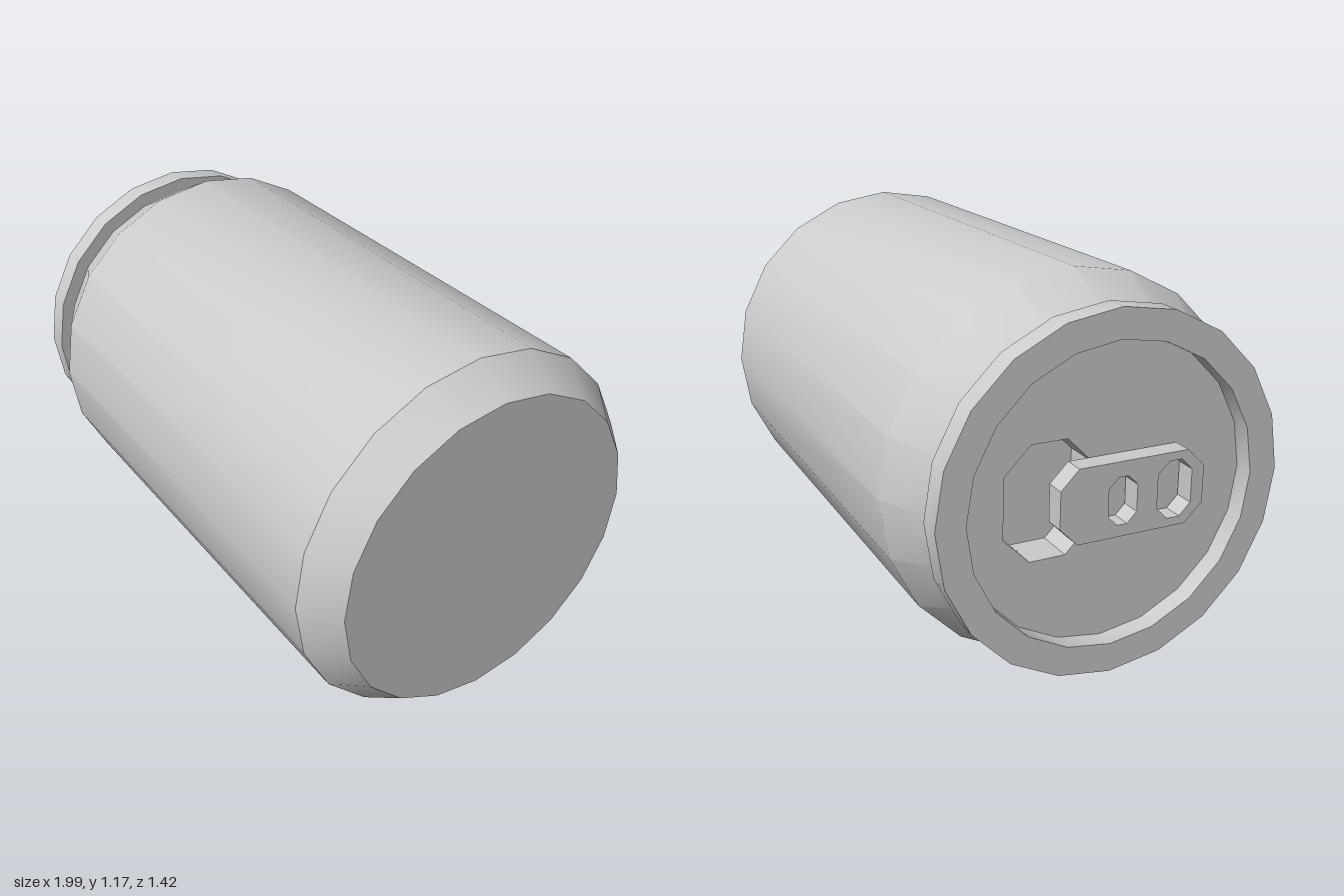
import * as THREE from 'three';
import { toCreasedNormals } from 'three/addons/utils/BufferGeometryUtils.js';

const SIDES = 20;
const material = new THREE.MeshStandardMaterial({ color: 0xcccccc });

function addMesh(parent, name, geometry) {
  const mesh = new THREE.Mesh(geometry, material);
  mesh.name = name;
  parent.add(mesh);
}

// Turned part: smooth around, sharp at strong profile bends
function turned(profile) {
  const points = profile.map(([r, y]) => new THREE.Vector2(r, y));
  return toCreasedNormals(new THREE.LatheGeometry(points, SIDES), Math.PI / 6);
}

// Corner points of a rectangle with cut corners
function cutRect(x0, x1, y0, y1, c) {
  return [
    [x0 + c, y0], [x1 - c, y0], [x1, y0 + c], [x1, y1 - c],
    [x1 - c, y1], [x0 + c, y1], [x0, y1 - c], [x0, y0 + c],
  ].map(([x, y]) => new THREE.Vector2(x, y));
}

// Flat plate with holes, lying across the can axis from bottom to top
function plate(outline, holes, bottom, top) {
  const shape = new THREE.Shape(outline);
  shape.holes = holes.map((h) => new THREE.Path(h));
  const geometry = new THREE.ExtrudeGeometry(shape, { depth: top - bottom, bevelEnabled: false });
  return geometry.rotateX(-Math.PI / 2).translate(0, bottom, 0);
}

export function createModel() {
  const model = new THREE.Group();
  model.name = 'can';
  const can = new THREE.Group();
  can.name = 'lyingCan';
  model.add(can);

  // Body with tapered base and neck
  addMesh(can, 'body', turned([
    [0, -0.917], [0.505, -0.917], [0.587, -0.805], [0.587, 0.659], [0.488, 0.847],
  ]));

  // Raised rim around the lid
  addMesh(can, 'rim', turned([
    [0.445, 0.847], [0.533, 0.847], [0.533, 0.92], [0.445, 0.92], [0.445, 0.86],
  ]));

  // Sunken lid with the drinking opening
  const lidOutline = [];
  for (let i = 0; i < SIDES; i++) {
    const a = (i / SIDES) * Math.PI * 2;
    lidOutline.push(new THREE.Vector2(Math.cos(a) * 0.446, Math.sin(a) * 0.446));
  }
  const mouth = cutRect(-0.31, -0.04, -0.17, 0.17, 0.08);
  addMesh(can, 'lid', plate(lidOutline, [mouth], 0.74, 0.86));
  addMesh(can, 'openingFloor', plate(mouth, [], 0.73, 0.741));

  // Pull tab with two holes, held by a rivet
  const tabHoles = [
    cutRect(-0.03, 0.06, -0.075, 0.065, 0.03),
    cutRect(0.125, 0.235, -0.085, 0.085, 0.035),
  ];
  addMesh(can, 'pullTab', plate(cutRect(-0.178, 0.274, -0.11, 0.11, 0.055), tabHoles, 0.87, 0.932));
  addMesh(can, 'rivet', new THREE.CylinderGeometry(0.025, 0.025, 0.03, 8).translate(0.093, 0.865, 0));

  // Lay the can on its side, lid towards the right, turned slightly
  const angle = THREE.MathUtils.degToRad(10.3);
  const c = Math.cos(angle), s = Math.sin(angle);
  can.quaternion.setFromRotationMatrix(new THREE.Matrix4().makeBasis(
    new THREE.Vector3(-s, 0, c),
    new THREE.Vector3(-c, 0, -s),
    new THREE.Vector3(0, -1, 0),
  ));
  can.position.set(0.003, 0.587, -0.015);
  return model;
}
